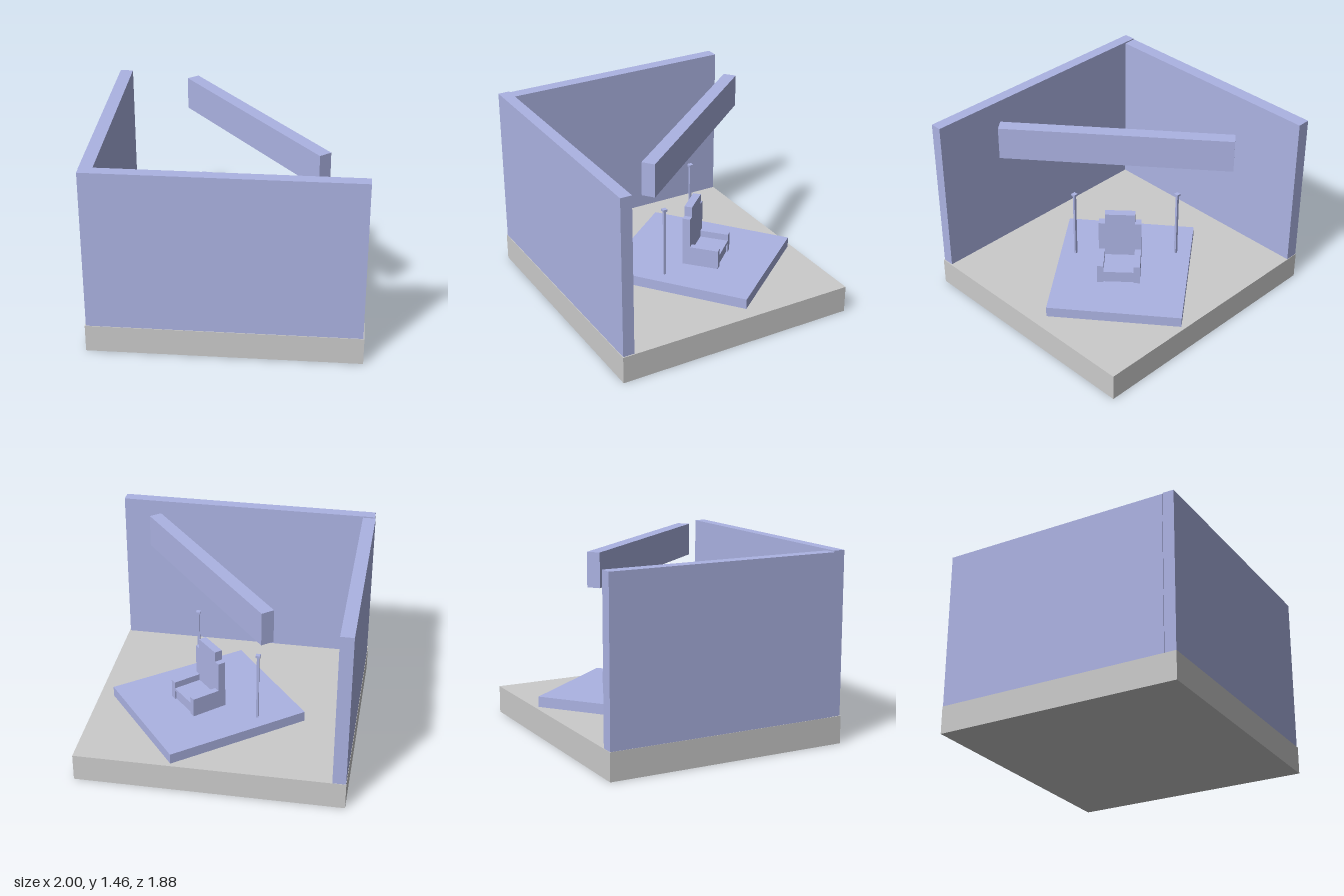
import * as THREE from 'three';

export function createModel() {
  const model = new THREE.Group();
  const grey = new THREE.MeshStandardMaterial({ color: 0xcccccc, flatShading: true });
  const blue = new THREE.MeshStandardMaterial({ color: 0xacb3e3, flatShading: true });

  // Box given by its extents along x, y and z
  function box(name, [x0, x1], [y0, y1], [z0, z1], parent = model, material = blue) {
    const mesh = new THREE.Mesh(new THREE.BoxGeometry(x1 - x0, y1 - y0, z1 - z0), material);
    mesh.position.set((x0 + x1) / 2, (y0 + y1) / 2, (z0 + z1) / 2);
    mesh.name = name;
    parent.add(mesh);
    return mesh;
  }

  function turnedGroup(name, x, y, z, angle) {
    const group = new THREE.Group();
    group.name = name;
    group.position.set(x, y, z);
    group.rotation.y = angle;
    model.add(group);
    return group;
  }

  // Floor slab and two walls
  box('floor', [-1, 1], [0, 0.21], [-0.94, 0.94], model, grey);
  box('sideWall', [-0.998, -0.9], [0.21, 1.425], [-0.937, 0.848]);
  box('frontWall', [-0.992, 0.992], [0.21, 1.435], [0.848, 0.935]);

  // Turned platform on the floor
  const stage = turnedGroup('stage', 0.14, 0.21, -0.17, 0.667);
  box('platform', [-0.565, 0.565], [0, 0.08], [-0.497, 0.497], stage);

  // Beam hanging above the platform
  const overhead = turnedGroup('overhead', 0.141, 1.21, -0.102, 0.683);
  box('beam', [-0.049, 0.049], [0, 0.25], [-0.848, 0.848], overhead);

  // Two thin capped posts
  for (const [x, z] of [[-0.27, -0.335], [0.278, 0.207]]) {
    const post = turnedGroup('post', x, 0.29, z, 0);
    box('pole', [-0.009, 0.009], [0, 0.53], [-0.009, 0.009], post);
    box('cap', [-0.017, 0.017], [0.53, 0.548], [-0.017, 0.017], post);
  }

  // Armchair, facing local +x
  const chair = turnedGroup('chair', 0.309, 0.29, -0.293, 0.74);
  box('seatBase', [-0.22, -0.012], [0, 0.075], [-0.113, 0.113], chair);
  box('cushion', [-0.22, 0], [0.075, 0.098], [-0.113, 0.113], chair);
  for (const s of [-1, 1]) {
    const arm = box('arm', [-0.22, 0], [0, 0.15], [-0.0235, 0.0235], chair);
    arm.position.z = s * 0.1365;
  }
  box('chairBack', [-0.28, -0.22], [0, 0.385], [-0.16, 0.16], chair);
  box('headrest', [-0.28, -0.22], [0.385, 0.465], [-0.113, 0.113], chair);

  return model;
}
